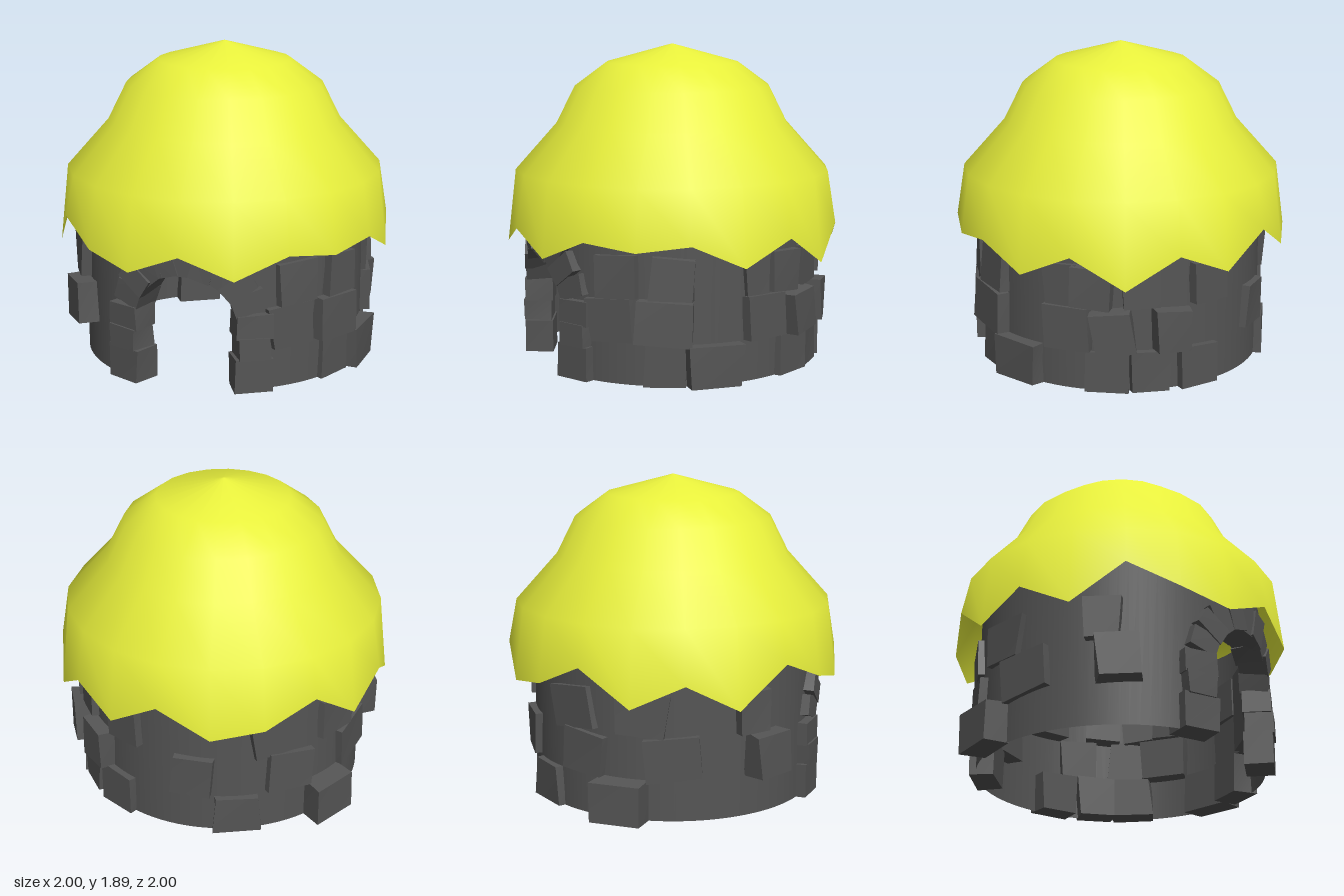
import * as THREE from 'three';

const stoneMat = new THREE.MeshStandardMaterial({ color: 0x555555, side: THREE.DoubleSide });
const roofMat = new THREE.MeshStandardMaterial({ color: 0xe8f03c, side: THREE.DoubleSide });
const WALL_R = 0.845;
const rad = THREE.MathUtils.degToRad;

// repeatable noise in -1..1
const noise = (n) => { const s = Math.sin(n * 127.1) * 43758.5453; return 2 * (s - Math.floor(s)) - 1; };

// rough hewn block: a box whose corners are each nudged a little
function blockGeometry(w, h, d, seed, rough) {
  const geo = new THREE.BoxGeometry(w, h, d);
  const p = geo.attributes.position;
  for (let i = 0; i < p.count; i++) {
    const x = p.getX(i), y = p.getY(i), z = p.getZ(i);
    const key = seed * 24 + (x > 0 ? 1 : 0) + (y > 0 ? 2 : 0) + (z > 0 ? 4 : 0);
    p.setXYZ(i, x + rough * noise(key),
      y + (y > 0 ? rough * 0.6 * noise(key + 8) : 0),
      z + (z > 0 ? rough * 0.4 * noise(key + 16) : 0));
  }
  geo.computeVertexNormals();
  return geo;
}

// block set in the wall at an angle round it (0 = front, 90 = +x)
function addBlock(parent, name, angle, y, w, h, d, outer, tilt, seed, rough = 0.02) {
  const mesh = new THREE.Mesh(blockGeometry(w, h, d, seed, rough), stoneMat);
  mesh.name = name;
  mesh.position.set(0, y, outer - d / 2);
  mesh.rotation.z = tilt;
  const pivot = new THREE.Group();
  pivot.rotation.y = angle;
  pivot.add(mesh);
  parent.add(pivot);
}

// round wall, its lower edge raised over the doorway
function makeWall() {
  const geo = new THREE.CylinderGeometry(WALL_R, WALL_R, 1, 96, 1, true);
  geo.translate(0, 0.5, 0);
  const p = geo.attributes.position;
  for (let i = 0; i < p.count; i++) {
    const x = p.getX(i);
    if (p.getY(i) < 0.5 && p.getZ(i) > 0 && Math.abs(x) < 0.36) {
      p.setY(i, 0.41 + Math.sqrt(0.36 * 0.36 - x * x));
    }
  }
  const wall = new THREE.Mesh(geo, stoneMat);
  wall.name = 'wall';
  return wall;
}

// scattered wall stones: [angle, row, width, tilt, outer radius]
function makeWallStones() {
  const group = new THREE.Group();
  group.name = 'wallStones';
  const rows = [{ y: 0.12, h: 0.24 }, { y: 0.37, h: 0.25 }, { y: 0.62, h: 0.24 }];
  const stones = [
    [63, 0, 0.24, 0, 0.87], [82, 0, 0.3, 0, 0.92], [119, 0, 0.24, 0, 0.88], [136, 0, 0.24, 0, 0.88],
    [156, 0, 0.24, 0, 0.89], [207, 0, 0.27, 0, 0.88], [246, 0, 0.28, 0, 0.97],
    [42, 1, 0.28, 0.05, 0.87], [63, 1, 0.3, -0.08, 0.91], [104, 1, 0.26, 0, 0.89], [122, 1, 0.24, 0.1, 0.94],
    [144, 1, 0.22, -0.05, 0.93], [190, 1, 0.25, -0.03, 0.88], [229, 1, 0.3, -0.06, 0.88],
    [266, 1, 0.3, 0.12, 0.87], [304, 1, 0.24, 0.05, 0.96],
    [44, 2, 0.26, 0.04, 0.88], [66, 2, 0.26, -0.04, 0.89], [101, 2, 0.2, 0.05, 0.87], [114, 2, 0.24, -0.1, 0.9],
    [132, 2, 0.22, 0.06, 0.88], [160, 2, 0.24, 0, 0.89], [224, 2, 0.3, 0.12, 0.87], [254, 2, 0.3, -0.06, 0.87],
    [298, 2, 0.2, 0.04, 0.9],
  ];
  stones.forEach(([angle, row, w, tilt, outer], i) => {
    const { y, h } = rows[row];
    addBlock(group, 'wallStone', rad(angle), y, w, h, 0.15, outer, tilt, i + 1);
  });
  return group;
}

// doorway: two stacked jambs joined by a ring of arch stones
function makeDoorway() {
  const group = new THREE.Group();
  group.name = 'doorway';
  const around = (x) => Math.asin(x / 0.88);
  for (const side of [-1, 1]) {
    [[0.1, 0.2, 0.22], [0.26, 0.13, 0.19], [0.39, 0.14, 0.21]].forEach(([y, h, w], i) => {
      addBlock(group, 'jambStone', around(side * 0.385), y, w, h, 0.17, 0.9 + 0.01 * (i % 2),
        0, 60 + i + side * 5, 0.01);
    });
  }
  const count = 9;
  for (let i = 0; i < count; i++) {
    const a = rad(18 + 144 * i / (count - 1));
    const x = 0.375 * Math.cos(a), y = 0.42 + 0.36 * Math.sin(a);
    addBlock(group, 'archStone', around(x), y, 0.19, 0.125, 0.17, 0.89 + 0.01 * (i % 2), a, 80 + i, 0.01);
  }
  return group;
}

// bell shaped roof with a ragged hem
function makeRoof() {
  const profile = [[1, 0.8], [0.95, 1.14], [0.7, 1.42], [0.59, 1.64], [0.4, 1.78], [0, 1.89]]
    .map(([r, y]) => new THREE.Vector2(r, y));
  const hem = [0.83, 0.7, 0.83, 0.79, 0.83, 0.69, 0.83, 0.645, 0.83, 0.7,
    0.88, 0.71, 0.76, 0.9, 0.69, 0.83, 0.67, 0.9, 0.775, 0.705];
  const geo = new THREE.LatheGeometry(profile, hem.length);
  for (let i = 0; i <= hem.length; i++) {
    geo.attributes.position.setY(i * profile.length, hem[i % hem.length]);
  }
  const roof = new THREE.Mesh(geo, roofMat);
  roof.name = 'roof';
  return roof;
}

export function createModel() {
  const hut = new THREE.Group();
  hut.name = 'stoneHut';
  hut.add(makeWall(), makeWallStones(), makeDoorway(), makeRoof());
  return hut;
}
